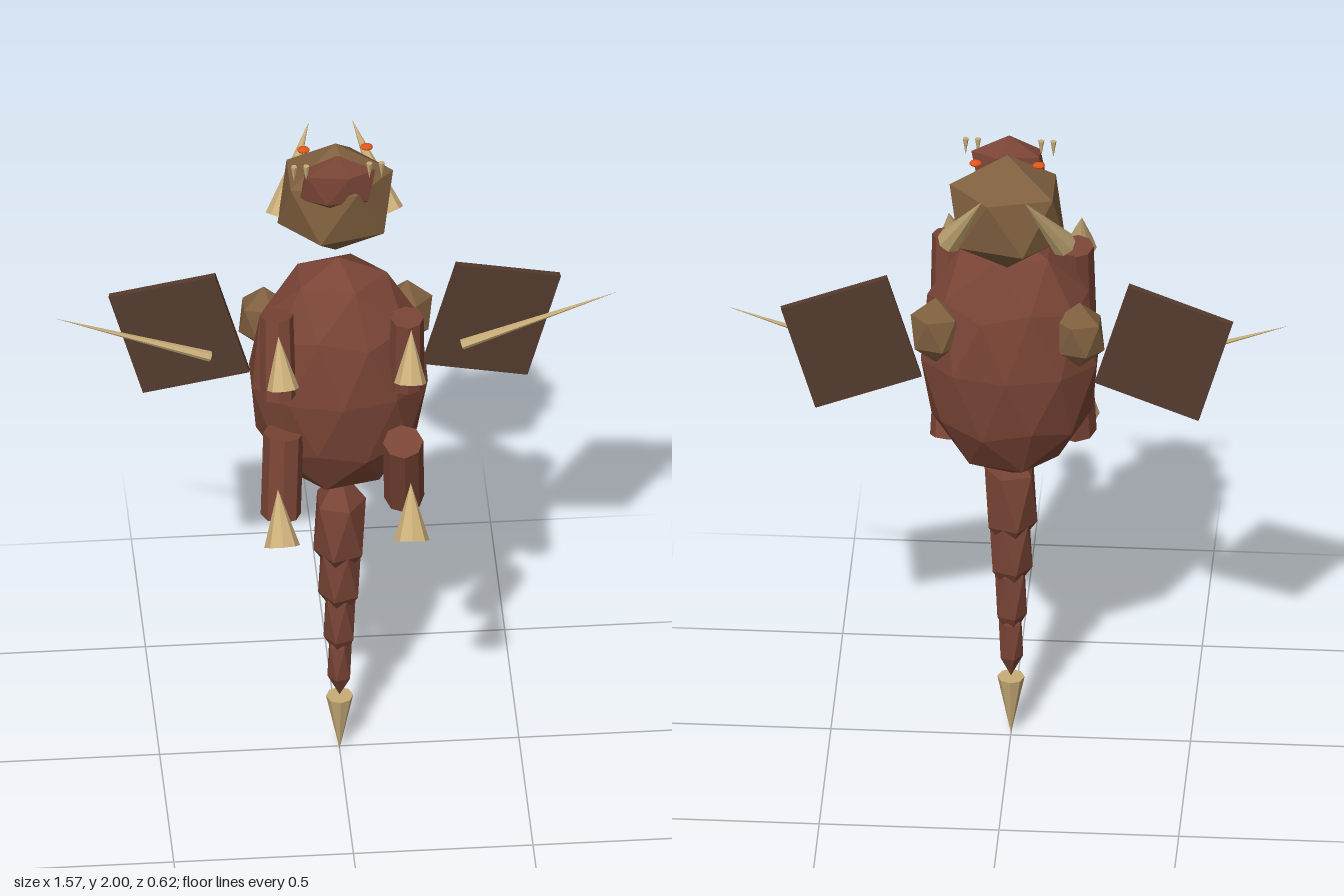
import * as THREE from 'three';

const mat = (color) => new THREE.MeshStandardMaterial({ color, flatShading: true });

export function createModel() {
  const model = new THREE.Group();
  const hide = mat(0x7a4536), scale = mat(0x80603f), membrane = mat(0x553b2e);
  const bone = mat(0xc9ad78), ember = mat(0xe0561c);

  const add = (name, geometry, material) => {
    const mesh = new THREE.Mesh(geometry, material);
    mesh.name = name;
    model.add(mesh);
    return mesh;
  };

  // Faceted ball with one corner straight up and one straight down
  const ball = (name, material, pos, size, detail = 0) => {
    const g = new THREE.IcosahedronGeometry(1, detail);
    g.rotateX(-Math.atan((1 + Math.sqrt(5)) / 2)).rotateY(Math.PI / 2);
    g.scale(...size);
    const mesh = add(name, g, material);
    mesh.position.set(...pos);
    return mesh;
  };

  // Tapered rod between two points
  const rod = (name, material, from, to, r0, r1, sides = 8) => {
    const a = new THREE.Vector3(...from), b = new THREE.Vector3(...to);
    const dir = b.clone().sub(a);
    const mesh = add(name, new THREE.CylinderGeometry(r1, r0, dir.length(), sides), material);
    mesh.position.copy(a).add(b).multiplyScalar(0.5);
    mesh.quaternion.setFromUnitVectors(new THREE.Vector3(0, 1, 0), dir.normalize());
    return mesh;
  };
  const spike = (name, base, tip, r, sides = 8) => rod(name, bone, base, tip, r, 0, sides);

  // Torso, head and snout
  ball('body', hide, [0, 1.275, -0.03], [0.257, 0.397, 0.186], 1);
  ball('head', scale, [0, 1.8, -0.14], [0.18, 0.184, 0.135]);
  ball('snout', hide, [0, 1.9, -0.062], [0.118, 0.1, 0.043]);

  // Tail: overlapping, shrinking segments and a pointed tip
  [[0.78, 0.082, 0.19], [0.62, 0.067, 0.165], [0.46, 0.05, 0.15], [0.31, 0.038, 0.122]]
    .forEach(([y, r, h], i) => ball('tailSegment' + (i + 1), hide, [0, y, 0.012], [r, h, r]));
  spike('tailTip', [0, 0.185, 0.012], [0, 0, 0.012], 0.038);

  for (const s of [1, -1]) {
    const side = s > 0 ? 'left' : 'right';

    // Face
    spike(side + 'Horn', [s * 0.157, 1.718, -0.17], [s * 0.06, 1.935, -0.312], 0.037);
    ball(side + 'Eye', ember, [s * 0.088, 1.96, -0.15], [0.018, 0.009, 0.014], 1);
    for (const x of [0.088, 0.122])
      spike(side + 'Tooth', [s * x, 1.978, -0.05], [s * x, 1.925, -0.05], 0.009, 5);

    // Wings
    ball(side + 'Shoulder', scale, [s * 0.2, 1.4, -0.133], [0.078, 0.105, 0.058]);
    const wing = add(side + 'Wing', new THREE.BoxGeometry(0.308, 0.34, 0.018), membrane);
    wing.position.set(s * 0.435, 1.355, -0.137);
    wing.rotation.set(0, s * 0.147, -s * 0.285, 'YXZ');
    spike(side + 'WingSpike', [s * 0.35, 1.29, -0.108], [s * 0.785, 1.443, -0.115], 0.015, 6);

    // Limbs, leaning differently on each side
    const [armTop, armLow, legTop, legLow] =
      s > 0 ? [0.115, 0.09, 0.175, 0.085] : [0.075, 0.12, 0.105, 0.14];
    rod(side + 'FrontLeg', hide, [s * 0.18, 1.315, armLow], [s * 0.18, 1.56, armTop], 0.05, 0.046);
    rod(side + 'HindLeg', hide, [s * 0.174, 0.92, legLow], [s * 0.164, 1.175, legTop], 0.056, 0.056);

    // Claws
    spike(side + 'FrontClaw', [s * 0.177, 1.443, 0.262], [s * 0.185, 1.578, 0.197], 0.045);
    spike(side + 'HindClaw', [s * 0.18, 0.9, 0.265], [s * 0.185, 1.035, 0.18], 0.05);
  }
  return model;
}
